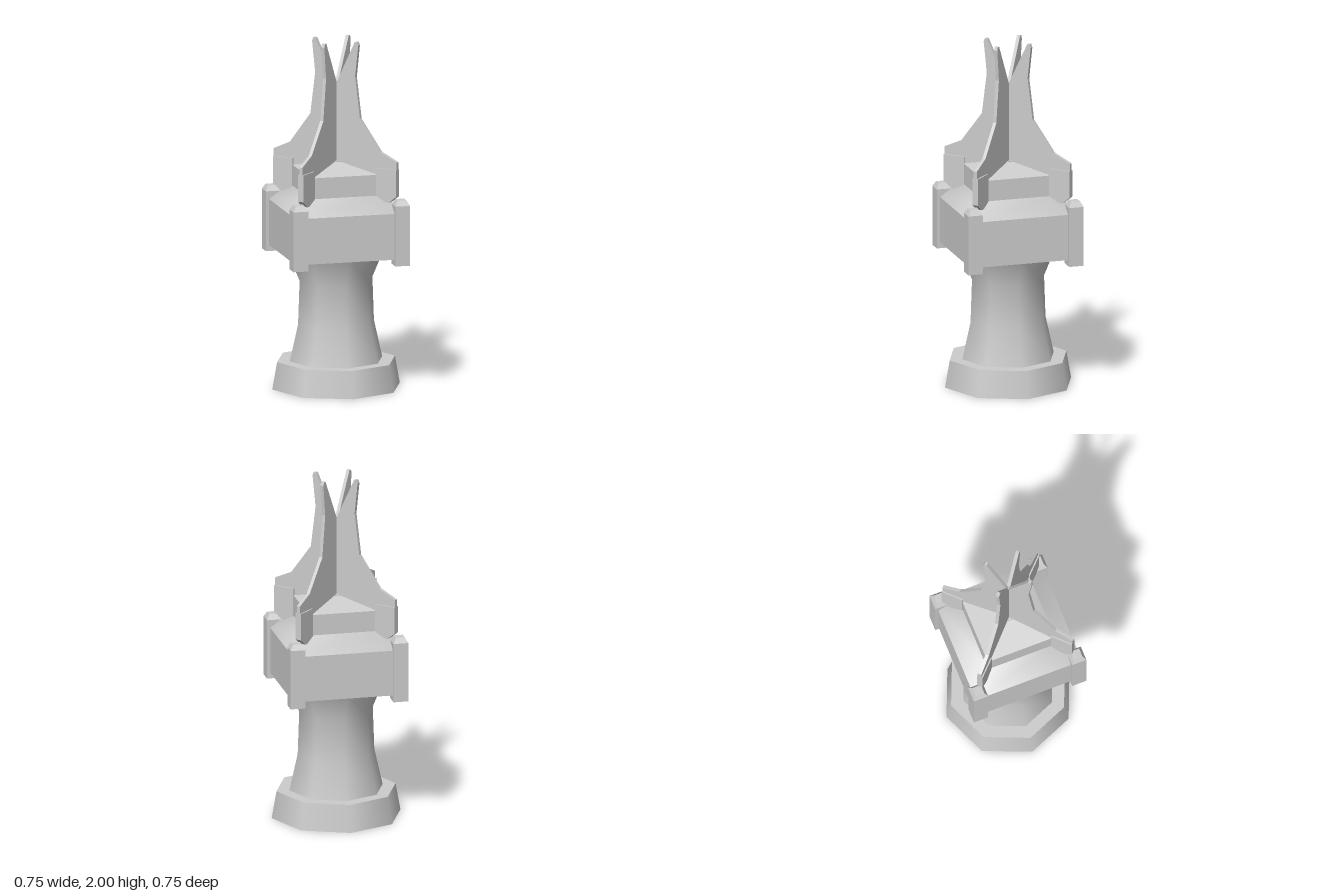
import * as THREE from 'three';

export function createModel() {
  const group = new THREE.Group();
  const stone = new THREE.MeshStandardMaterial({ color: 0xcccccc, side: THREE.DoubleSide });
  stone.name = 'stone grey';

  const add = (name, geometry) => {
    const mesh = new THREE.Mesh(geometry, stone);
    mesh.name = name;
    group.add(mesh);
    return mesh;
  };
  // Eight-sided smooth turning with corners on the axes
  const turned = (profile) =>
    new THREE.LatheGeometry(profile.map(([r, y]) => new THREE.Vector2(r, y)), 8);
  // Square tapered section given by half widths and heights
  const square = (bottom, top, y0, y1, open, flat = true) => {
    let g = new THREE.CylinderGeometry(
      top * Math.SQRT2, bottom * Math.SQRT2, y1 - y0, 4, 1, open, Math.PI / 4);
    g.translate(0, (y0 + y1) / 2, 0);
    if (flat) {
      g = g.toNonIndexed();
      g.computeVertexNormals();
    }
    return g;
  };
  // Upright plate centred on its own thickness
  const plate = (points, depth) => {
    const shape = new THREE.Shape(points.map(([x, y]) => new THREE.Vector2(x * Math.SQRT2, y)));
    const g = new THREE.ExtrudeGeometry(shape, { depth, bevelEnabled: false });
    return g.translate(0, 0, -depth / 2);
  };

  // Hollow foot and flared shaft
  add('footWall', turned([[0.373, 0], [0.345, 0.157]]));
  add('footTop', turned([[0.345, 0.157], [0, 0.157]]));
  add('shaft', turned([[0.27, 0.157], [0.222, 0.37], [0.213, 0.62], [0.285, 0.785]]));

  // Square head, open underneath, with a sloped shoulder and low pyramid roof
  add('headWalls', square(0.322, 0.322, 0.78, 1.045, true));
  add('shoulder', square(0.322, 0.203, 1.045, 1.13, true, false));
  add('upperBlock', square(0.203, 0.203, 1.13, 1.25, true));
  add('roof', square(0.203, 0.033, 1.25, 1.3, true));
  add('roofCap', new THREE.BoxGeometry(0.066, 0.012, 0.066)).position.y = 1.299;

  const finProfile = [
    [0, 1.2], [0.19, 1.12], [0.283, 1.14], [0.283, 1.333], [0.208, 1.382], [0.114, 1.56],
    [0.092, 1.8], [0.106, 1.98], [0.101, 2], [0.09, 2], [0.006, 1.755], [0, 1.65],
  ];
  const clampProfile = [
    [0.192, 1.125], [0.208, 1.095], [0.25, 1.098], [0.283, 1.135], [0.283, 1.29], [0.192, 1.29],
  ];

  // Corner posts, diagonal fins and the clamps holding them
  for (let i = 0; i < 4; i++) {
    const angle = Math.PI / 4 + (i * Math.PI) / 2;
    const x = 0.298 * Math.SQRT2 * Math.cos(angle);
    const z = -0.298 * Math.SQRT2 * Math.sin(angle);
    add('cornerPost', square(0.043, 0.043, 0.745, 1.09, true)).position.set(x, 0, z);
    add('postTop', square(0.043, 0.026, 1.09, 1.12, true)).position.set(x, 0, z);
    const cap = new THREE.PlaneGeometry(0.052, 0.052).rotateX(-Math.PI / 2);
    add('postCap', cap).position.set(x, 1.12, z);
    add('fin', plate(finProfile, 0.02)).rotation.y = angle;
    add('finClamp', plate(clampProfile, 0.036)).rotation.y = angle;
  }
  return group;
}
